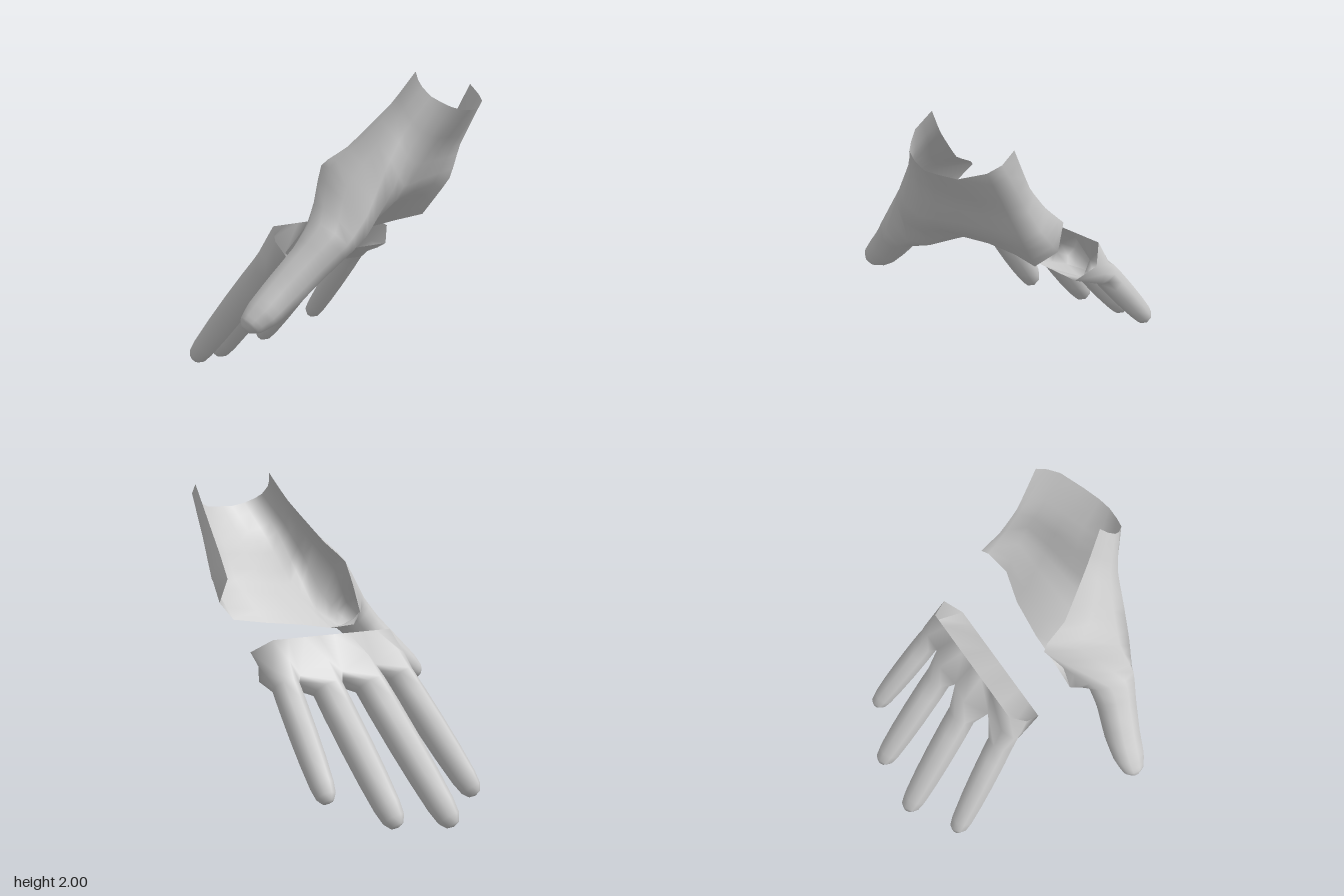
import * as THREE from 'three';
import { mergeGeometries, mergeVertices } from 'three/addons/utils/BufferGeometryUtils.js';

const V = (x, y, z) => new THREE.Vector3(x, y, z);
const points = (rows) => rows.map((p) => V(...p));
const UP = V(-0.78, 0.62, 0); // back-of-hand direction
const STEPS = 3;

// Smooths a list of cross-sections lengthwise, keeping the given ones.
function refine(sections) {
  const n = (sections.length - 1) * STEPS;
  const curves = sections[0].map((_, j) => new THREE.CatmullRomCurve3(sections.map((s) => s[j]), false, 'catmullrom', 0.2));
  return Array.from({ length: n + 1 }, (_, i) => curves.map((c) => c.getPoint(i / n)));
}

// Skins cross-sections that all have the same number of points.
function loft(sections, closed) {
  const m = sections[0].length, index = [];
  for (let i = 0; i < sections.length - 1; i++) {
    for (let j = 0; j < (closed ? m : m - 1); j++) {
      const k = (j + 1) % m, a = i * m + j, b = i * m + k, c = a + m, d = b + m;
      index.push(a, b, c, b, d, c);
    }
  }
  const g = new THREE.BufferGeometry().setFromPoints(sections.flat());
  g.setIndex(index);
  return g;
}

// Ellipse of points around a centre; angles in degrees.
const ring = (c, u, v, ru, rv, angles) => angles.map((deg) => {
  const t = deg * Math.PI / 180;
  return c.clone().addScaledVector(u, ru * Math.cos(t)).addScaledVector(v, rv * Math.sin(t));
});

function makeMesh(name, parts) {
  const g = mergeVertices(mergeGeometries(parts), 1e-4);
  g.computeVertexNormals();
  const mesh = new THREE.Mesh(g, new THREE.MeshStandardMaterial({ color: 0xcccccc, side: THREE.DoubleSide }));
  mesh.name = name;
  return mesh;
}

function createFingers() {
  // Web points between fingers, then each finger: start, tip, thickness, width.
  const webs = points([[-0.22, 0.84, 0.18], [-0.185, 0.8, -0.065], [-0.17, 0.8, -0.36], [-0.065, 0.8, -0.61], [0.005, 0.85, -0.768]]);
  const fingers = [
    [V(-0.21, 0.86, 0.09), V(-0.85, 0.085, 0.138), 0.1, 0.09],
    [V(-0.22, 0.87, -0.215), V(-0.948, 0.02, -0.235), 0.1, 0.1],
    [V(-0.14, 0.87, -0.485), V(-0.82, 0.085, -0.59), 0.095, 0.095],
    [V(-0.03, 0.88, -0.69), V(-0.555, 0.235, -0.86), 0.083, 0.083],
  ];
  // Base row: even points are webs, odd points are knuckles.
  const upper = [], lower = [], rimUpper = [], rimLower = [];
  for (let i = 0; i <= 8; i++) {
    const c = i % 2 ? fingers[(i - 1) / 2][0] : webs[i / 2];
    const h = i % 2 ? 0.103 : 0.07;
    upper.push(c.clone().addScaledVector(UP, h));
    lower.push(c.clone().addScaledVector(UP, -h));
    rimUpper.push(V(-0.22, 1.04, 0.1).lerp(V(0, 1.05, -0.71), i / 8));
    rimLower.push(V(-0.05, 0.865, 0.195).lerp(V(0.185, 0.865, -0.65), i / 8));
  }
  // Open sleeve from the cut rim to the base row.
  const sleeve = loft([
    [...rimUpper, V(0.135, 0.97, -0.76), ...rimLower.reverse(), V(-0.15, 0.96, 0.18)],
    [...upper, webs[4], ...[...lower].reverse(), webs[0]],
  ], true);
  const angles = [45, 90, 135, 180, 225, 270, 315, 0];
  const profile = [[0.14, 0.98], [0.28, 1], [0.5, 0.98], [0.7, 0.92], [0.87, 0.82], [0.95, 0.68], [0.99, 0.4], [1, 0]];
  const lofts = fingers.map(([start, tip, thick, wide], k) => {
    const a = 2 * k, b = a + 1, c = a + 2;
    const dir = tip.clone().sub(start).normalize();
    const up = UP.clone().addScaledVector(dir, -UP.dot(dir)).normalize();
    const side = up.clone().cross(dir).normalize();
    if (side.z < 0) side.negate();
    const base = [upper[a], upper[b], upper[c], webs[k + 1], lower[c], lower[b], lower[a], webs[k]];
    return loft([base, ...profile.map(([t, s]) =>
      ring(start.clone().lerp(tip, t), side, up, wide * s, thick * s, angles))], true);
  });
  return makeMesh('fingers', [sleeve, ...lofts]);
}

function createPalm() {
  // Open-backed shell from wrist to finger end, each section back edge to thumb-side edge.
  const wrist = points([[0.81, 1.93, -0.56], [0.88, 1.87, -0.53], [0.93, 1.83, -0.47], [0.965, 1.78, -0.32], [0.965, 1.78, -0.2],
    [0.955, 1.78, -0.12], [0.92, 1.8, -0.04], [0.88, 1.83, 0.02], [0.83, 1.86, 0.04], [0.78, 1.91, 0.045], [0.74, 1.95, 0.02], [0.705, 2, -0.015]]);
  const heel = points([[0.66, 1.66, -0.575], [0.73, 1.6, -0.58], [0.78, 1.56, -0.5], [0.79, 1.55, -0.35], [0.785, 1.55, -0.2],
    [0.785, 1.55, -0.07], [0.78, 1.56, 0.03], [0.76, 1.6, 0.11], [0.72, 1.66, 0.14], [0.66, 1.73, 0.125], [0.61, 1.78, 0.08], [0.57, 1.82, 0.02]]);
  const middle = points([[0.54, 1.5, -0.61], [0.62, 1.4, -0.625], [0.69, 1.34, -0.55], [0.67, 1.32, -0.36], [0.64, 1.29, -0.15],
    [0.63, 1.26, 0.02], [0.66, 1.26, 0.13], [0.69, 1.33, 0.22], [0.66, 1.44, 0.26], [0.56, 1.53, 0.25], [0.43, 1.58, 0.18], [0.31, 1.56, 0.08]]);
  const fingerEnd = points([[0.42, 1.37, -0.665], [0.49, 1.22, -0.67], [0.51, 1.1, -0.54], [0.4, 1.07, -0.36], [0.31, 1.04, -0.13],
    [0.25, 1, 0.08], [0.4, 0.98, 0.22], [0.56, 1.07, 0.28], [0.61, 1.2, 0.37], [0.48, 1.35, 0.38], [0.28, 1.44, 0.24], [0.125, 1.44, 0.08]]);

  // Thumb rings: the first seven angles continue the shell, the last three the web.
  const web = points([[0.168, 1.29, 0.2], [0.16, 1.09, 0.27], [0.19, 1.01, 0.24]]);
  const dir = V(-0.32, -0.69, 0.64).normalize();
  const v = V(0, 0.68, 0.73);
  const u = v.clone().cross(dir).normalize();
  const angles = [252, 293, 332, 10, 50, 88, 125, 155, 185, 217];
  const rings = [
    [0.385, 1.06, 0.415, 0.165, 0.135], [0.325, 0.93, 0.525, 0.13, 0.125], [0.235, 0.775, 0.66, 0.117, 0.115],
    [0.175, 0.665, 0.775, 0.105, 0.095], [0.14, 0.605, 0.845, 0.073, 0.068], [0.128, 0.583, 0.873, 0.035, 0.032], [0.125, 0.58, 0.88, 0, 0],
  ].map(([x, y, z, ru, rv]) => ring(V(x, y, z), u, v, ru, rv, angles));

  const sections = [wrist, heel, middle, fingerEnd];
  const outer = refine([...sections.map((s) => s.slice(5)), ...rings.map((r) => r.slice(0, 7))]);
  const palm = refine(sections.map((s) => s.slice(0, 5))).map((row, i) => [...row, outer[i][0]]);
  const inner = refine([web, ...rings.map((r) => r.slice(7))]).map((row, i) => {
    const edge = outer[i + 3 * STEPS];
    return [edge[6], ...row, edge[0]];
  });
  return makeMesh('palmAndThumb', [palm, outer, inner].map((rows) => loft(rows, false)));
}

export function createModel() {
  const group = new THREE.Group();
  group.name = 'hand';
  group.add(createFingers(), createPalm());
  return group;
}
